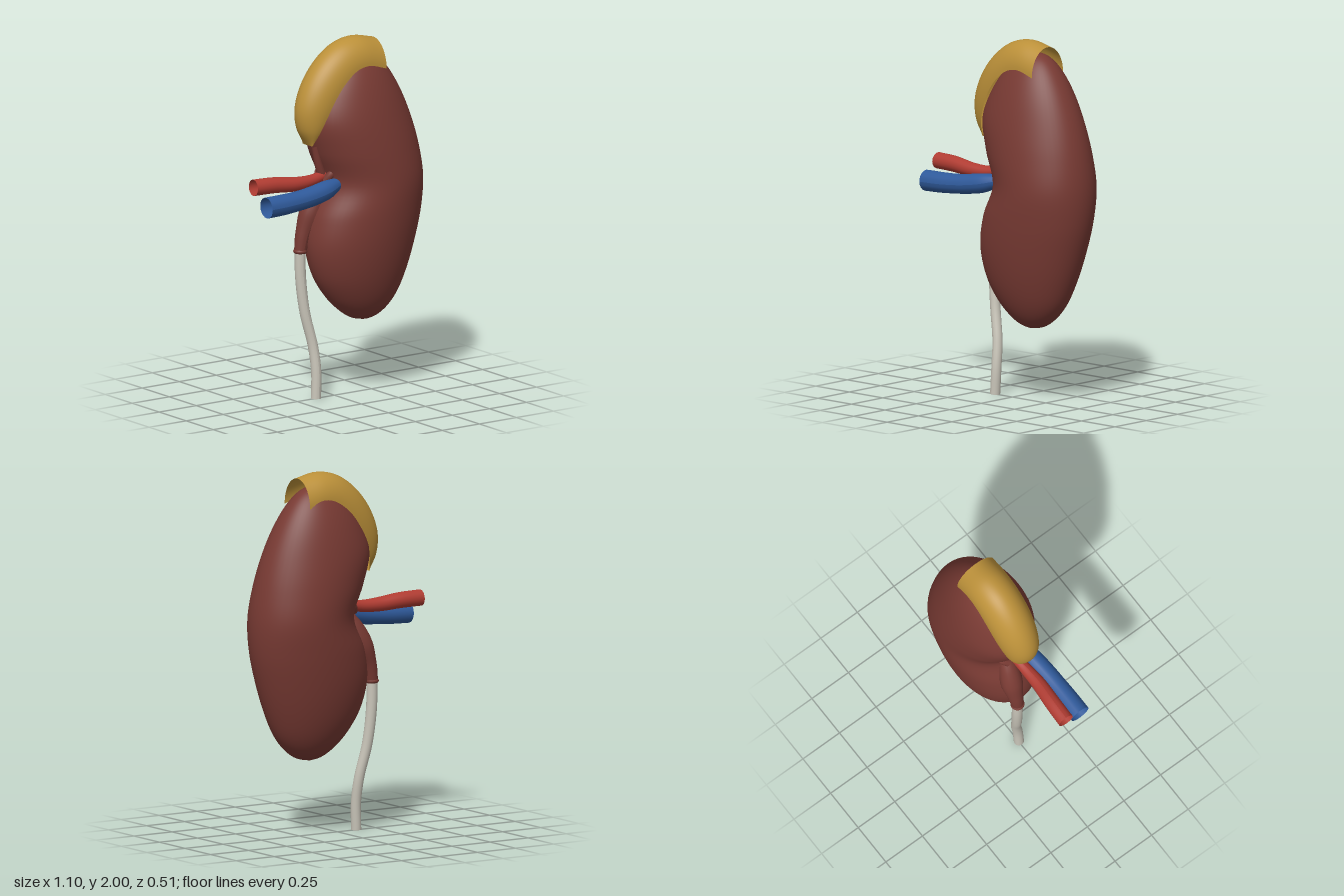
import * as THREE from 'three';

const paint = (name, color, side = THREE.FrontSide) => {
  const m = new THREE.MeshStandardMaterial({ color, side });
  m.name = name;
  return m;
};
const V = (p) => new THREE.Vector3(...p);
const spline = (points) => new THREE.CatmullRomCurve3(points.map(V));

// Skins rows of points; point(u, v) gives [x, y, z], closed joins the last column to the first
function loft(rows, cols, closed, point) {
  const pos = [], index = [];
  const n = closed ? cols : cols + 1;
  for (let i = 0; i <= rows; i++)
    for (let j = 0; j < n; j++) pos.push(...point(i / rows, j / cols));
  for (let i = 0; i < rows; i++)
    for (let j = 0; j < cols; j++) {
      const a = i * n + j, b = i * n + ((j + 1) % n), c = a + n, d = b + n;
      index.push(a, c, b, b, c, d);
    }
  const g = new THREE.BufferGeometry();
  g.setAttribute('position', new THREE.Float32BufferAttribute(pos, 3));
  g.setIndex(index);
  g.computeVertexNormals();
  return g;
}

// Tube whose radius follows a list of values spread along the path
function vessel(points, radii) {
  const path = spline(points), seg = 40, sides = 20;
  const g = new THREE.TubeGeometry(path, seg, 1, sides);
  const radius = spline(radii.map((r, i) => [r, i, 0]));
  const p = g.attributes.position, v = new THREE.Vector3();
  for (let k = 0; k < p.count; k++) {
    const t = Math.floor(k / (sides + 1)) / seg;
    const c = path.getPointAt(t);
    v.fromBufferAttribute(p, k).sub(c).multiplyScalar(radius.getPoint(t).x).add(c);
    p.setXYZ(k, v.x, v.y, v.z);
  }
  g.computeVertexNormals();
  return g;
}

export function createModel() {
  const group = new THREE.Group();
  const flesh = paint('flesh brown', 0x783a33, THREE.DoubleSide);
  const gold = paint('gland gold', 0xbb9039, THREE.DoubleSide);
  const red = paint('artery red', 0xb03c32, THREE.DoubleSide);
  const blue = paint('vein blue', 0x2f5a9b, THREE.DoubleSide);
  const ivory = paint('ureter ivory', 0xc8c4b8, THREE.DoubleSide);
  const add = (name, geometry, material) => {
    const m = new THREE.Mesh(geometry, material);
    m.name = name;
    group.add(m);
    return m;
  };

  // Bean-shaped body: each entry is [inner edge x, height, outer edge x]
  const outline = spline([
    [0.18, 0.408, 0.18], [0.10, 0.425, 0.255], [0.03, 0.47, 0.32], [-0.05, 0.55, 0.385],
    [-0.13, 0.68, 0.445], [-0.168, 0.85, 0.50], [-0.14, 1.02, 0.538], [-0.065, 1.2, 0.548],
    [-0.13, 1.38, 0.523], [-0.172, 1.55, 0.475], [-0.12, 1.7, 0.41], [-0.035, 1.82, 0.335],
    [0.045, 1.89, 0.27], [0.105, 1.922, 0.215], [0.16, 1.932, 0.16],
  ]);
  add('kidneyBody', loft(84, 56, true, (u, v) => {
    const e = outline.getPoint(u), a = v * Math.PI * 2, k = (e.y - 1.17) / 0.762;
    const depth = 0.254 * Math.sqrt(Math.max(0, 1 - k * k));
    return [
      (e.x + e.z) / 2 + ((e.z - e.x) / 2) * Math.cos(a),
      e.y,
      -0.02 * k + depth * Math.sin(a),
    ];
  }), flesh);

  // Arched gland draped over the upper pole: ridge line, hem line, half width
  const ridge = spline([
    [-0.185, 1.43, 0], [-0.235, 1.52, 0], [-0.247, 1.63, 0], [-0.205, 1.76, 0],
    [-0.11, 1.89, 0], [0.01, 1.975, 0], [0.13, 2.0, 0], [0.262, 1.975, 0],
  ]);
  const hem = spline([
    [-0.18, 1.43, 0.045], [-0.155, 1.51, 0.085], [-0.12, 1.6, 0.108], [-0.075, 1.69, 0.12],
    [-0.01, 1.775, 0.125], [0.07, 1.835, 0.125], [0.15, 1.85, 0.125], [0.262, 1.82, 0.125],
  ]);
  add('adrenalGland', loft(48, 28, false, (u, v) => {
    const o = ridge.getPoint(u), h = hem.getPoint(u), a = v * Math.PI;
    const s = Math.sin(a);
    return [h.x + (o.x - h.x) * s, h.y + (o.y - h.y) * s, h.z * Math.cos(a)];
  }), gold);

  // Funnel and small branches gathered in the hollow of the body
  add('renalPelvis', vessel(
    [[-0.03, 1.22, -0.02], [-0.085, 1.12, -0.035], [-0.135, 1.01, -0.05], [-0.172, 0.91, -0.055], [-0.19, 0.82, -0.055]],
    [0.03, 0.055, 0.062, 0.045, 0.034]), flesh);
  add('pelvisCollar', new THREE.TorusGeometry(0.027, 0.012, 10, 24), flesh)
    .rotateX(Math.PI / 2).position.set(-0.19, 0.825, -0.055);
  for (const [x, y, z] of [[-0.14, 1.42, 0.01], [-0.03, 1.3, 0.06], [-0.03, 1.1, 0.07], [-0.03, 1.28, -0.07]])
    add('hilumBranch', vessel(
      [[-0.08, 1.22, z * 0.5], [(x - 0.09) / 2, (y + 1.22) / 2, z * 0.9], [x, y, z]],
      [0.026, 0.022, 0.018]), flesh);

  // Vessels leave toward the inner side
  add('renalArtery', vessel(
    [[-0.55, 1.243, 0.005], [-0.42, 1.24, 0.01], [-0.28, 1.228, 0.02], [-0.17, 1.23, 0.015], [-0.04, 1.255, 0]],
    [0.045, 0.044, 0.04, 0.033, 0.025]), red);
  add('renalVein', vessel(
    [[-0.538, 1.148, 0.11], [-0.4, 1.152, 0.11], [-0.27, 1.162, 0.105], [-0.16, 1.178, 0.095], [-0.06, 1.2, 0.08], [-0.02, 1.21, 0.07]],
    [0.058, 0.057, 0.055, 0.055, 0.052, 0.03]), blue);

  // Ureter hangs down to the base
  add('ureter', vessel(
    [[-0.19, 0.86, -0.055], [-0.188, 0.68, -0.055], [-0.168, 0.48, -0.043], [-0.13, 0.29, -0.02], [-0.121, 0.15, -0.002], [-0.126, 0, 0.003]],
    [0.03, 0.03, 0.029, 0.028, 0.028, 0.028]), ivory);

  return group;
}
